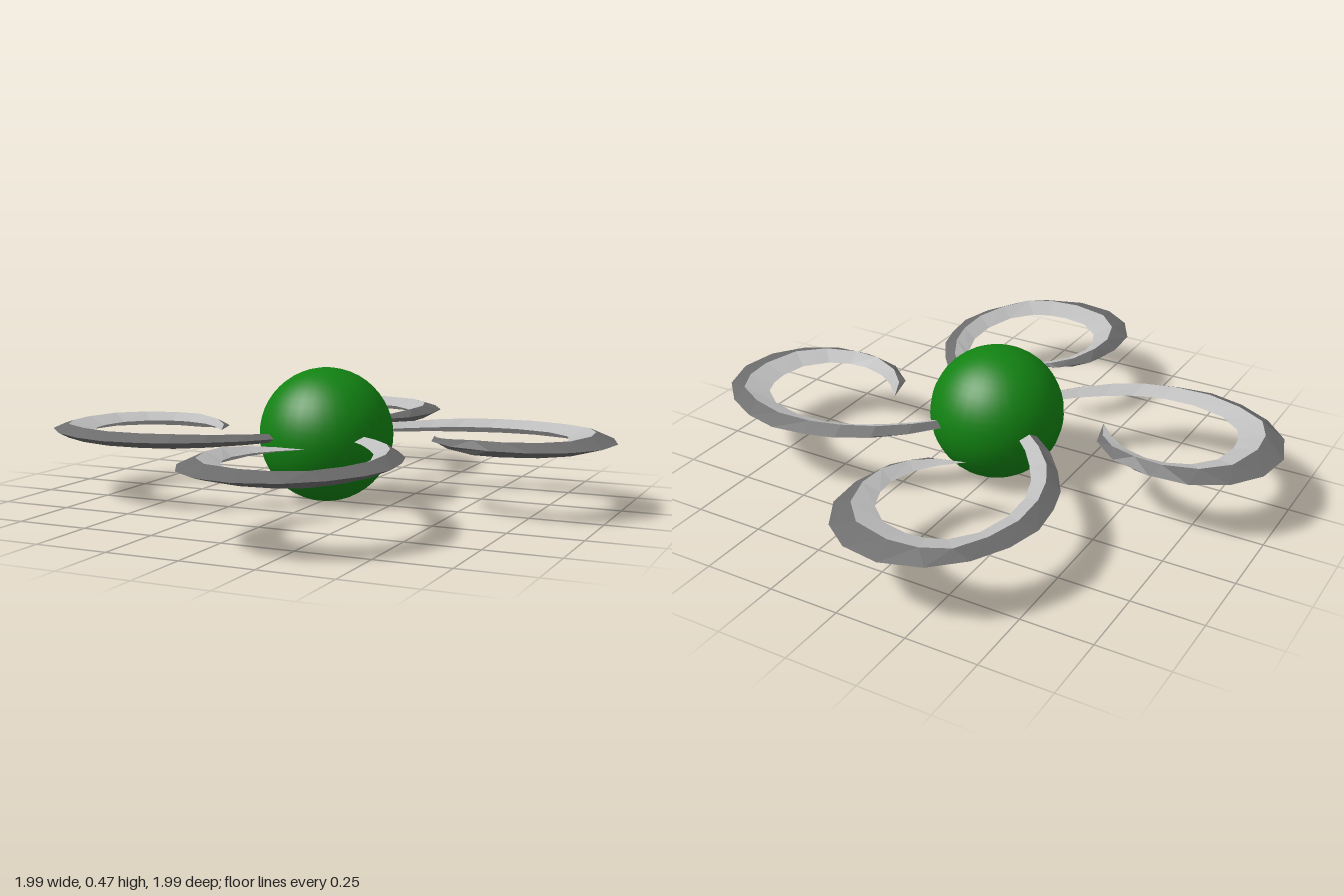
import * as THREE from 'three';

const MID = 0.24;        // height of the blades' sharp edges
const THICK = 0.025;     // half thickness at the ridge

// Blade stations from root to tip: outer x,z, ridge x,z, inner x,z
const STATIONS = [
  [0.08, 0.00, 0.06, 0.02, 0.04, 0.04],
  [0.20, 0.08, 0.18, 0.10, 0.16, 0.13],
  [0.31, 0.17, 0.27, 0.18, 0.23, 0.20],
  [0.39, 0.27, 0.35, 0.275, 0.29, 0.28],
  [0.455, 0.375, 0.405, 0.38, 0.34, 0.36],
  [0.485, 0.48, 0.435, 0.49, 0.375, 0.465],
  [0.50, 0.605, 0.44, 0.62, 0.38, 0.585],
  [0.47, 0.73, 0.405, 0.745, 0.35, 0.705],
  [0.405, 0.85, 0.345, 0.85, 0.285, 0.785],
  [0.305, 0.945, 0.255, 0.895, 0.225, 0.81],
  [0.17, 0.99, 0.15, 0.905, 0.16, 0.818],
  [0.035, 0.97, 0.015, 0.87, 0.065, 0.80],
  [-0.07, 0.895, -0.065, 0.785, -0.01, 0.735],
  [-0.135, 0.78, -0.10, 0.67, -0.04, 0.66],
  [-0.145, 0.645, -0.095, 0.57, -0.045, 0.59],
  [-0.11, 0.50, -0.055, 0.47, -0.02, 0.50],
  [-0.025, 0.40, 0.01, 0.405, 0.03, 0.43],
  [0.10, 0.365, 0.10, 0.365, 0.10, 0.365],
];

// Facets joining two rails of points, given as [railA, railB] pairs
function facets(pairs) {
  const pos = [];
  for (const [a, b] of pairs) {
    for (let i = 0; i < a.length - 1; i++) {
      pos.push(...a[i], ...b[i], ...a[i + 1], ...b[i], ...b[i + 1], ...a[i + 1]);
    }
  }
  const geo = new THREE.BufferGeometry();
  geo.setAttribute('position', new THREE.Float32BufferAttribute(pos, 3));
  geo.computeVertexNormals();
  return geo;
}

export function createModel() {
  const model = new THREE.Group();
  model.name = 'bladedOrb';

  const green = new THREE.MeshStandardMaterial({ color: 0x128212 });
  green.name = 'green';
  const darkSteel = new THREE.MeshStandardMaterial({ color: 0x6c6c6c });
  darkSteel.name = 'dark steel';
  const lightSteel = new THREE.MeshStandardMaterial({ color: 0xbebebe });
  lightSteel.name = 'light steel';

  // Hub and blades turn about a point a hair off centre
  const rotor = new THREE.Group();
  rotor.name = 'rotor';
  rotor.position.set(0.005, 0, -0.005);
  model.add(rotor);

  const orb = new THREE.Mesh(new THREE.SphereGeometry(0.236, 32, 24), green);
  orb.name = 'orb';
  orb.position.y = 0.236;
  rotor.add(orb);

  // Diamond-section rails: sharp outer and inner edges, ridges above and below
  const last = STATIONS.length - 1;
  const rail = (k, side) => STATIONS.map((s, i) => {
    const taper = Math.min(1, 0.45 + i * 0.14, (last - i) / 3);
    return [s[k] - 0.005, MID + side * THICK * taper, s[k + 1] + 0.005];
  });
  const outer = rail(0, 0), inner = rail(4, 0);
  const top = rail(2, 1), bottom = rail(2, -1);
  const outerGeo = facets([[outer, top], [bottom, outer]]);
  const innerGeo = facets([[top, inner], [inner, bottom]]);

  // Four hooked blades
  for (let k = 0; k < 4; k++) {
    const blade = new THREE.Group();
    blade.name = 'blade' + (k + 1);
    const back = new THREE.Mesh(outerGeo, darkSteel);
    back.name = 'outerBevel';
    const edge = new THREE.Mesh(innerGeo, lightSteel);
    edge.name = 'innerBevel';
    blade.add(back, edge);
    blade.rotation.y = k * Math.PI / 2;
    rotor.add(blade);
  }
  return model;
}
